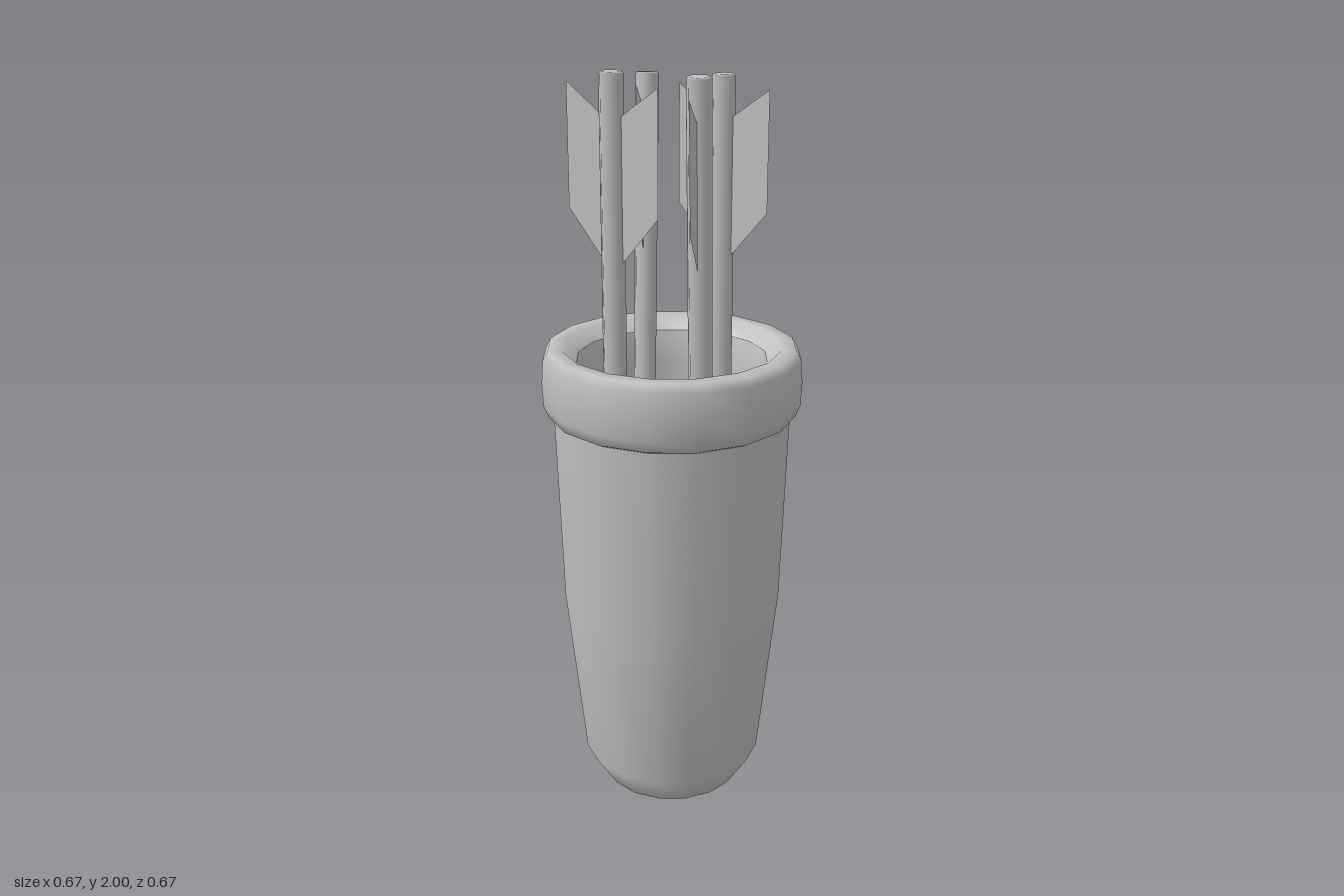
import * as THREE from 'three';

const grey = new THREE.MeshStandardMaterial({ color: 0xc0c0c0 });
grey.name = 'plain grey';
const greyThin = grey.clone();
greyThin.name = 'plain grey, two sided';
greyThin.side = THREE.DoubleSide;

function lathe(name, profile, sides) {
  const points = profile.map(([r, y]) => new THREE.Vector2(r, y));
  const mesh = new THREE.Mesh(new THREE.LatheGeometry(points, sides), grey);
  mesh.name = name;
  return mesh;
}

// One swept-back feather; y is measured down from the nock
function vane(side) {
  const shape = new THREE.Shape();
  shape.moveTo(0, -0.12);
  shape.lineTo(0.13 * side, -0.03);
  shape.lineTo(0.13 * side, -0.33);
  shape.lineTo(0, -0.48);
  shape.closePath();
  const mesh = new THREE.Mesh(new THREE.ShapeGeometry(shape), greyThin);
  mesh.name = side > 0 ? 'vaneOuter' : 'vaneInner';
  return mesh;
}

// Shaft hanging down from its top end, with a pair of vanes
function arrow({ top, foot, vaneAngle }) {
  const a = new THREE.Vector3(...top), b = new THREE.Vector3(...foot);
  const length = a.distanceTo(b);
  const group = new THREE.Group();
  group.name = 'arrow';
  group.add(lathe('shaft', [[0, -length], [0.03, -length], [0.03, -0.004], [0.026, 0], [0, 0]], 8));
  const vanes = new THREE.Group();
  vanes.name = 'fletching';
  vanes.add(vane(1), vane(-1));
  vanes.rotation.y = vaneAngle;
  group.add(vanes);
  group.position.copy(a);
  group.quaternion.setFromUnitVectors(new THREE.Vector3(0, 1, 0), a.clone().sub(b).normalize());
  return group;
}

export function createModel() {
  const model = new THREE.Group();
  model.name = 'quiver';

  // Tapered outer case with a rounded base
  model.add(lathe('case', [
    [0, 0.005], [0.1, 0.022], [0.185, 0.07], [0.24, 0.155],
    [0.29, 0.63], [0.306, 1.14],
  ], 16));

  // Thick rolled rim
  model.add(lathe('rim', [
    [0.3, 1.13], [0.32, 1.14], [0.332, 1.17], [0.335, 1.23], [0.331, 1.29],
    [0.318, 1.312], [0.28, 1.312], [0.245, 1.28],
  ], 16));

  // Hollow inside, running down to a bowl-shaped floor
  model.add(lathe('lining', [
    [0.245, 1.28], [0.224, 1.2], [0.218, 0.63], [0.19, 0.2], [0.1, 0.09], [0, 0.07],
  ], 16));

  // Two upright and two leaning arrows
  const upright = -1.18, diagonal = Math.PI / 4;
  const arrows = [
    { top: [-0.175, 2, 0.007], foot: [-0.175, 0.4, 0.007], vaneAngle: upright },
    { top: [0.165, 1.97, -0.016], foot: [0.165, 0.4, -0.016], vaneAngle: upright },
    { top: [0.082, 1.96, -0.23], foot: [-0.005, 0.5, -0.137], vaneAngle: diagonal },
    { top: [-0.068, 2, 0.207], foot: [-0.01, 0.4, 0.157], vaneAngle: diagonal },
  ];
  arrows.forEach((spec) => model.add(arrow(spec)));
  return model;
}
